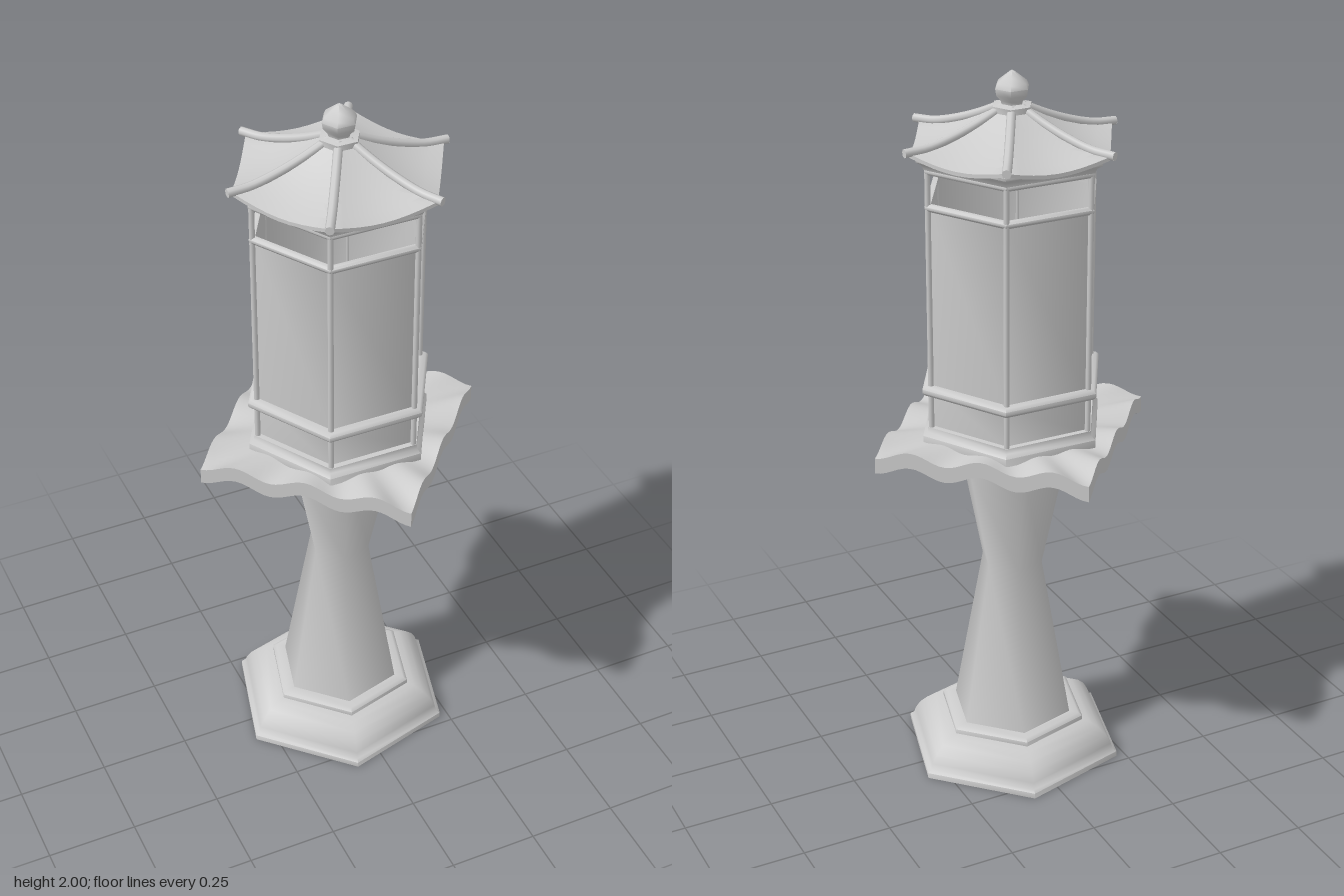
import * as THREE from 'three';
import { toCreasedNormals } from 'three/addons/utils/BufferGeometryUtils.js';

const material = new THREE.MeshStandardMaterial({ color: 0xcccccc, side: THREE.DoubleSide });
const LANTERN = Math.PI / 6;   // hexagon corners on the x axis
const PEDESTAL = Math.PI / 4;  // hexagon corners turned 45 degrees
const LANTERN_R = 0.245;

export function createModel() {
  const model = new THREE.Group();
  model.name = 'lantern';

  const add = (name, geometry, parent = model) => {
    const mesh = new THREE.Mesh(geometry, material);
    mesh.name = name;
    parent.add(mesh);
    return mesh;
  };
  // Six-sided solid of revolution from [radius, y] pairs, bottom to top
  const hex = (name, start, profile) => {
    const points = profile.map(([r, y]) => new THREE.Vector2(r, y));
    return add(name, toCreasedNormals(new THREE.LatheGeometry(points, 6, start), 1.15));
  };
  // Six-sided band with a softened outer edge
  const band = (name, r, y, w, h) => hex(name, LANTERN, [
    [r - w, y - h], [r + w * 0.5, y - h], [r + w, y - h * 0.4],
    [r + w, y + h * 0.4], [r + w * 0.5, y + h], [r - w, y + h], [r - w, y - h],
  ]);

  // Hollow stepped foot and waisted pillar
  hex('foot', PEDESTAL, [
    [0.29, 0.005], [0.317, 0], [0.317, 0.016], [0.306, 0.022], [0.3, 0.04], [0.285, 0.064],
    [0.262, 0.085], [0.235, 0.1], [0.212, 0.104], [0.212, 0.117], [0.2, 0.124], [0.17, 0.124],
  ]);
  hex('pillar', PEDESTAL, [[0.174, 0.118], [0.087, 0.6], [0.155, 0.93], [0.155, 0.98]]);
  hex('bracket', PEDESTAL, [
    [0.12, 0.918], [0.15, 0.922], [0.175, 0.94], [0.19, 0.962], [0.208, 0.98], [0.21, 1.0], [0, 1.0],
  ]);

  // Square slab whose rim undulates
  const slab = new THREE.BoxGeometry(0.584, 0.044, 0.584, 36, 1, 36);
  const p = slab.attributes.position;
  for (let i = 0; i < p.count; i++) {
    const u = p.getX(i) / 0.292, v = p.getZ(i) / 0.292;
    const m = Math.max(Math.abs(u), Math.abs(v));
    const t = m > 0 ? (Math.min(Math.abs(u), Math.abs(v)) / m + 1) / 2 : 0;
    p.setY(i, p.getY(i) + 0.995 - 0.014 * m ** 3 * Math.cos(6 * Math.PI * t));
  }
  slab.computeVertexNormals();
  add('wavySlab', slab).rotation.y = THREE.MathUtils.degToRad(47);

  // Lantern floor, rails and thin walls
  hex('lanternFloor', LANTERN, [
    [0, 1.01], [0.265, 1.01], [0.265, 1.032], [0.252, 1.042], [0.25, 1.055], [0.235, 1.055], [0, 1.05],
  ]);
  band('lowerRail', 0.25, 1.162, 0.015, 0.013);
  band('upperRail', 0.24, 1.67, 0.009, 0.009);
  band('topRail', 0.24, 1.768, 0.009, 0.009);
  hex('lowerWall', LANTERN, [[0.232, 1.05], [0.232, 1.16]]);
  hex('upperWall', LANTERN, [[0.236, 1.16], [0.236, 1.67]]);

  // Corner posts
  const posts = new THREE.Group();
  posts.name = 'cornerPosts';
  for (let i = 0; i < 6; i++) {
    const a = i * Math.PI / 3;
    add('post', new THREE.CylinderGeometry(0.008, 0.008, 0.74, 8), posts)
      .position.set((LANTERN_R - 0.005) * Math.cos(a), 1.41, (LANTERN_R - 0.005) * Math.sin(a));
  }
  model.add(posts);

  // Cornice, open inside
  hex('cornice', LANTERN, [
    [0.232, 1.772], [0.25, 1.772], [0.256, 1.785], [0.272, 1.795], [0.272, 1.802], [0.232, 1.802],
  ]);

  // Concave six-sided roof with lifted corners: sweep a slope around a hexagon
  const slope = [[0.045, 1.9], [0.1, 1.868], [0.15, 1.843], [0.2, 1.823], [0.25, 1.808],
    [0.292, 1.8], [0.292, 1.79], [0.25, 1.792]].reverse();
  const roof = new THREE.LatheGeometry(slope.map(([r, y]) => new THREE.Vector2(r, y)), 48, LANTERN);
  const q = roof.attributes.position;
  for (let i = 0; i < q.count; i++) {
    const x = q.getX(i), z = q.getZ(i), r = Math.hypot(x, z);
    const a = Math.atan2(z, x) + 2 * Math.PI;
    const off = (a + 1e-6) % (Math.PI / 3) - Math.PI / 6;
    const s = Math.cos(Math.PI / 6) / Math.cos(off);
    const corner = Math.abs(off) / (Math.PI / 6);
    q.setXYZ(i, x * s, q.getY(i) + 0.022 * corner ** 2 * (r / 0.292) ** 2, z * s);
  }
  add('roof', toCreasedNormals(roof, 0.6));

  // Rounded ridges running out to the roof corners
  const ridges = new THREE.Group();
  ridges.name = 'roofRidges';
  const ridgePath = new THREE.CatmullRomCurve3(
    [[0.03, 1.905], [0.1, 1.872], [0.17, 1.846], [0.24, 1.828], [0.304, 1.824]]
      .map(([x, y]) => new THREE.Vector3(x, y, 0)));
  const ridgeGeometry = new THREE.TubeGeometry(ridgePath, 16, 0.012, 8);
  for (let i = 0; i < 6; i++) {
    const ridge = new THREE.Group();
    ridge.name = 'ridge';
    ridge.rotation.y = i * Math.PI / 3 + 0.015;
    add('ridgeTube', ridgeGeometry, ridge);
    const cap = add('ridgeEnd', new THREE.CircleGeometry(0.012, 8), ridge);
    cap.position.set(0.304, 1.824, 0);
    cap.rotation.y = Math.PI / 2;
    ridges.add(ridge);
  }
  model.add(ridges);

  // Collar and bud-shaped finial
  hex('finial', LANTERN, [
    [0, 1.885], [0.055, 1.885], [0.055, 1.91], [0.03, 1.914], [0.032, 1.922], [0.045, 1.938],
    [0.048, 1.955], [0.042, 1.968], [0.022, 1.984], [0.008, 1.995], [0, 2.0],
  ]);

  return model;
}
